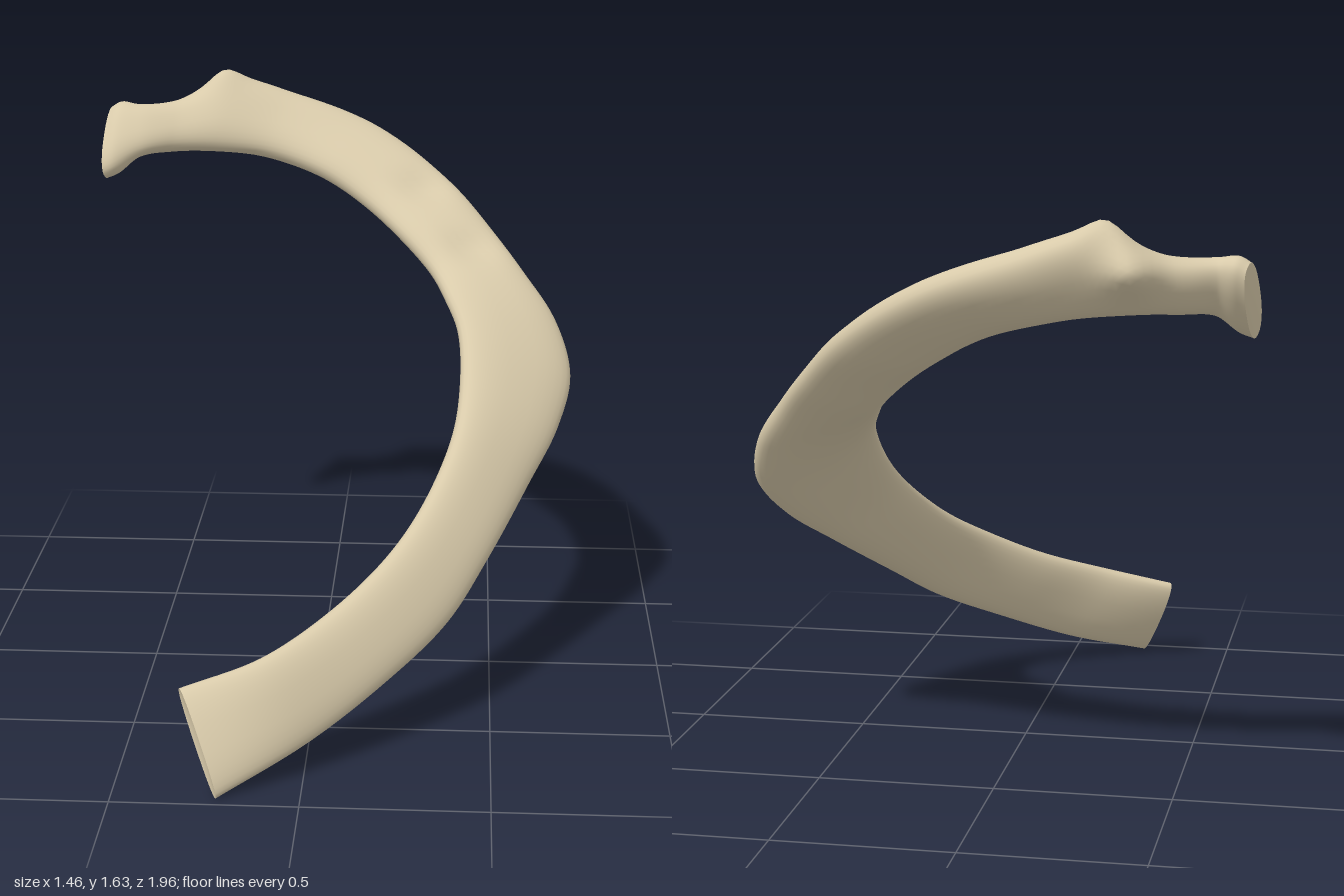
import * as THREE from 'three';

// Stations along the bone: inner edge xyz, outer edge xyz, half thickness
const STATIONS = [
  [-0.33, 0.265, 0.84, -0.22, 0.005, 0.97, 0.035],
  [-0.12, 0.325, 0.77, 0.0, 0.085, 0.80, 0.042],
  [0.05, 0.40, 0.63, 0.2, 0.19, 0.63, 0.045],
  [0.2, 0.50, 0.47, 0.37, 0.30, 0.45, 0.045],
  [0.3, 0.60, 0.30, 0.48, 0.42, 0.27, 0.045],
  [0.38, 0.74, 0.10, 0.6, 0.57, 0.03, 0.048],
  [0.4, 0.85, -0.06, 0.69, 0.69, -0.15, 0.05],
  [0.39, 0.97, -0.22, 0.73, 0.81, -0.29, 0.05],
  [0.35, 1.04, -0.33, 0.69, 0.94, -0.40, 0.052],
  [0.3, 1.095, -0.45, 0.6, 1.06, -0.50, 0.052],
  [0.2, 1.18, -0.56, 0.5, 1.17, -0.62, 0.052],
  [0.08, 1.26, -0.67, 0.35, 1.31, -0.77, 0.055],
  [-0.05, 1.33, -0.74, 0.12, 1.45, -0.91, 0.058],
  [-0.22, 1.375, -0.80, -0.12, 1.54, -0.95, 0.062],
  [-0.38, 1.39, -0.80, -0.34, 1.6, -0.93, 0.062],
  [-0.52, 1.395, -0.77, -0.52, 1.535, -0.87, 0.052],
  [-0.62, 1.385, -0.72, -0.63, 1.53, -0.83, 0.045],
  [-0.69, 1.34, -0.685, -0.68, 1.535, -0.845, 0.055],
  [-0.725, 1.325, -0.68, -0.71, 1.52, -0.845, 0.05],
];

// Local swellings and dents: centre, radius, push
const BUMPS = [
  [[-0.43, 1.50, -0.92], 0.065, [-0.005, 0, -0.06]],
  [[-0.37, 1.61, -0.92], 0.06, [0, 0.035, 0.01]],
  [[0.28, 1.34, -0.66], 0.07, [-0.005, -0.02, -0.015]],
  [[0.43, 1.17, -0.50], 0.07, [-0.005, -0.015, -0.015]],
].map(([c, r, p]) => ({ c: new THREE.Vector3(...c), r, p: new THREE.Vector3(...p) }));

const RINGS = 160, SIDES = 32;

function edgeCurve(offset) {
  return new THREE.CatmullRomCurve3(
    STATIONS.map(s => new THREE.Vector3(s[offset], s[offset + 1], s[offset + 2])), false, 'centripetal');
}

function thicknessAt(u) {
  const f = u * (STATIONS.length - 1), i = Math.min(Math.floor(f), STATIONS.length - 2);
  return THREE.MathUtils.lerp(STATIONS[i][6], STATIONS[i + 1][6], THREE.MathUtils.smoothstep(f - i, 0, 1));
}

// Flattened oval, a little fuller than an ellipse
const full = v => Math.sign(v) * Math.pow(Math.abs(v), 0.85);

function makeRings() {
  const inner = edgeCurve(0), outer = edgeCurve(3);
  const mid = u => inner.getPoint(u).add(outer.getPoint(u)).multiplyScalar(0.5);
  const rings = [];
  for (let i = 0; i <= RINGS; i++) {
    const u = i / RINGS, centre = mid(u);
    const tangent = mid(Math.min(1, u + 0.015)).sub(mid(Math.max(0, u - 0.015))).normalize();
    const wide = outer.getPoint(u).sub(inner.getPoint(u)).multiplyScalar(0.49);
    const thin = tangent.clone().cross(wide).normalize().multiplyScalar(thicknessAt(u));
    const ring = [];
    for (let j = 0; j < SIDES; j++) {
      const a = j / SIDES * Math.PI * 2;
      const p = centre.clone().addScaledVector(wide, full(Math.cos(a))).addScaledVector(thin, full(Math.sin(a)));
      const base = p.clone();
      for (const b of BUMPS) p.addScaledVector(b.p, Math.exp(-base.distanceToSquared(b.c) / (b.r * b.r)));
      ring.push(p);
    }
    rings.push(ring);
  }
  return rings;
}

function toGeometry(points, index) {
  const g = new THREE.BufferGeometry().setFromPoints(points);
  g.setIndex(index);
  g.computeVertexNormals();
  return g;
}

function shaftGeometry(rings) {
  const index = [];
  for (let i = 0; i < RINGS; i++) {
    for (let j = 0; j < SIDES; j++) {
      const k = (j + 1) % SIDES;
      const a = i * SIDES + j, b = i * SIDES + k, c = a + SIDES, d = b + SIDES;
      index.push(a, b, c, b, d, c);
    }
  }
  return toGeometry(rings.flat(), index);
}

// End face: a fan to a centre moved in or out along the bone
function capGeometry(ring, neighbour, atStart, depth) {
  const centreOf = r => r.reduce((s, p) => s.add(p), new THREE.Vector3()).divideScalar(r.length);
  const centre = centreOf(ring);
  centre.addScaledVector(centre.clone().sub(centreOf(neighbour)).normalize(), depth);
  const index = [];
  for (let j = 0; j < SIDES; j++) {
    const k = (j + 1) % SIDES;
    index.push(SIDES, atStart ? k : j, atStart ? j : k);
  }
  return toGeometry([...ring, centre], index);
}

export function createModel() {
  const group = new THREE.Group();
  group.name = 'ribBone';
  const bone = new THREE.MeshStandardMaterial({ color: 0xd8caaa });
  bone.name = 'bone';
  const rings = makeRings();
  const add = (name, geometry) => {
    const mesh = new THREE.Mesh(geometry, bone);
    mesh.name = name;
    group.add(mesh);
  };
  add('shaft', shaftGeometry(rings));
  add('frontEnd', capGeometry(rings[0], rings[1], true, -0.015));
  add('headFacet', capGeometry(rings[RINGS], rings[RINGS - 1], false, 0.006));
  return group;
}
